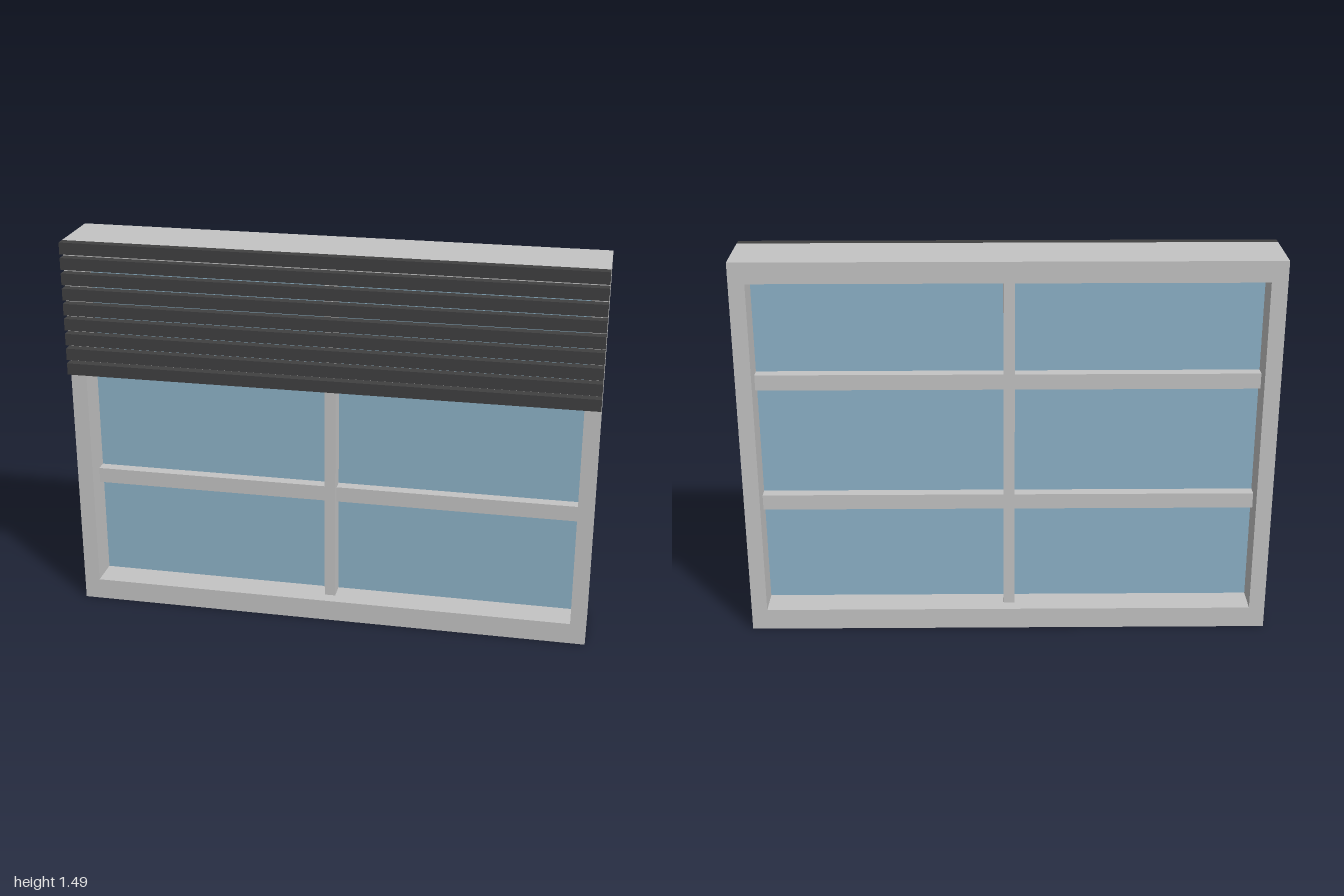
import * as THREE from 'three';

export function createModel() {
  const group = new THREE.Group();
  const material = (name, color) => {
    const m = new THREE.MeshStandardMaterial({ color });
    m.name = name;
    return m;
  };
  const frameGrey = material('frame grey', 0xc4c4c4);
  const glassBlue = material('glass blue', 0x8eb3c9);
  const blindGrey = material('blind dark grey', 0x404041);

  const H = 1.485, back = -0.142, front = 0.107, midZ = (back + front) / 2;
  const left = -0.94, right = 0.94, bottom = 0.083, top = 1.405;

  // Box given by its limits on each axis
  const box = (name, mat, [x0, x1], [y0, y1], [z0, z1]) => {
    const mesh = new THREE.Mesh(new THREE.BoxGeometry(x1 - x0, y1 - y0, z1 - z0), mat);
    mesh.position.set((x0 + x1) / 2, (y0 + y1) / 2, (z0 + z1) / 2);
    mesh.name = name;
    group.add(mesh);
  };
  const around = (c, half) => [c - half, c + half];

  // Outer frame with one rectangular opening
  const outline = new THREE.Shape([[-1, 0], [1, 0], [1, H], [-1, H]].map(p => new THREE.Vector2(...p)));
  outline.holes.push(new THREE.Path(
    [[left, bottom], [left, top], [right, top], [right, bottom]].map(p => new THREE.Vector2(...p))));
  const frameGeometry = new THREE.ExtrudeGeometry(outline, { depth: front - back, bevelEnabled: false });
  const frame = new THREE.Mesh(frameGeometry.translate(0, 0, back), frameGrey);
  frame.name = 'windowFrame';
  group.add(frame);

  // Glass pane in the middle of the frame depth
  box('glassPane', glassBlue, [left, right], [bottom, top], around(midZ, 0.004));

  // Deep centre mullion and two shallower crossbars
  const mullion = [-0.024, 0.018];
  box('centreMullion', frameGrey, mullion, [bottom, top], around(midZ, 0.074));
  for (const y of [0.51, 1.0]) {
    box('crossbarRight', frameGrey, [left, mullion[0]], around(y, 0.03), around(midZ, 0.048));
    box('crossbarLeft', frameGrey, [mullion[1], right], around(y, 0.03), around(midZ, 0.048));
  }

  // Partly lowered blind on the front
  const slats = 9, slatHeight = 0.045, lowest = 0.97;
  const pitch = (H - slatHeight - lowest) / (slats - 1);
  for (let i = 0; i < slats; i++) {
    const y = lowest + i * pitch;
    box('blindSlat', blindGrey, [-1, 1], [y, y + slatHeight], [front, 0.143]);
  }
  return group;
}
